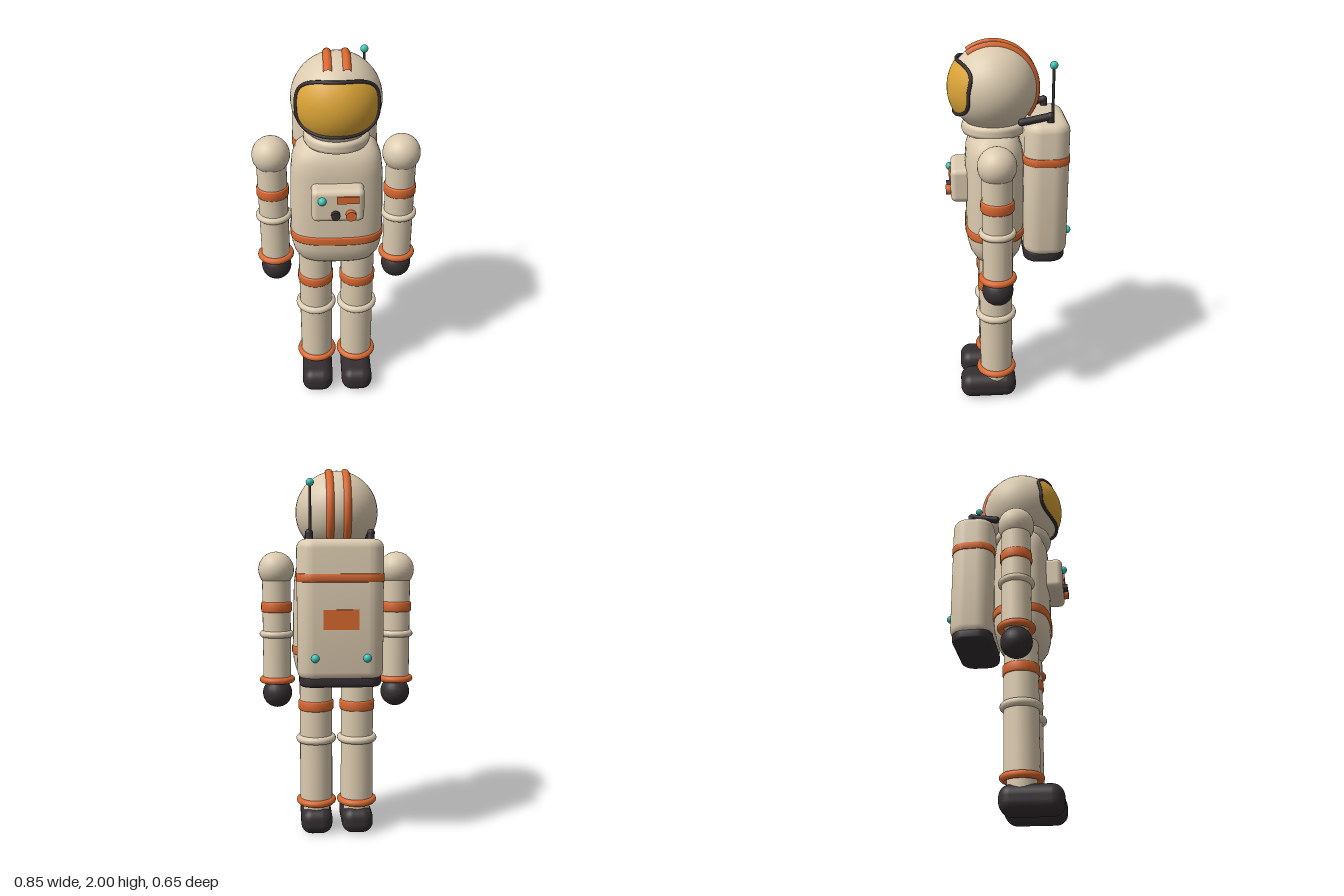
import * as THREE from 'three';
import { toCreasedNormals } from 'three/addons/utils/BufferGeometryUtils.js';
import { RoundedBoxGeometry } from 'three/addons/geometries/RoundedBoxGeometry.js';

const material = (name, color) => {
  const m = new THREE.MeshStandardMaterial({ color });
  m.name = name;
  return m;
};
const V = (x, y, z) => new THREE.Vector3(x, y, z);
const Z = 0.07; // depth of the body axis

// point on a rounded, boxy oval
function oval(angle, w, h, n = 3) {
  const p = (v) => Math.sign(v) * Math.pow(Math.abs(v), 2 / n);
  return [w * p(Math.cos(angle)), h * p(Math.sin(angle))];
}

// closed skin through boxy oval sections [y, halfWidth, halfDepth]
function loft(sections, seg = 48) {
  const pos = [], idx = [];
  sections.forEach(([y, w, d], i) => {
    for (let j = 0; j < seg; j++) {
      const [x, z] = oval((j / seg) * Math.PI * 2, w, d);
      pos.push(x, y, z);
      if (i === sections.length - 1) continue;
      const a = i * seg + j, b = i * seg + ((j + 1) % seg);
      idx.push(a, a + seg, b, b, a + seg, b + seg);
    }
  });
  const g = new THREE.BufferGeometry();
  g.setAttribute('position', new THREE.Float32BufferAttribute(pos, 3));
  g.setIndex(idx);
  g.computeVertexNormals();
  return g;
}

// upright slab with rounded plan corners and softened top and bottom edges
function slab(w, d, r, h, bevel) {
  const x = w / 2, y = d / 2, s = new THREE.Shape();
  s.moveTo(-x + r, -y);
  s.lineTo(x - r, -y); s.absarc(x - r, -y + r, r, -Math.PI / 2, 0);
  s.lineTo(x, y - r); s.absarc(x - r, y - r, r, 0, Math.PI / 2);
  s.lineTo(-x + r, y); s.absarc(-x + r, y - r, r, Math.PI / 2, Math.PI);
  s.lineTo(-x, -y + r); s.absarc(-x + r, -y + r, r, Math.PI, Math.PI * 1.5);
  const g = new THREE.ExtrudeGeometry(s, {
    depth: h - 2 * bevel, bevelSize: bevel, bevelThickness: bevel, bevelOffset: -bevel,
    bevelSegments: 4, curveSegments: 8,
  });
  g.translate(0, 0, bevel - h / 2).rotateX(-Math.PI / 2);
  return toCreasedNormals(g, 0.6);
}

// solid round band with softened edges
function band(r, h, b = 0.008) {
  const y = h / 2;
  const pts = [[0, -y], [r - b, -y], [r - b * 0.3, -y + b * 0.3], [r, -y + b],
    [r, y - b], [r - b * 0.3, y - b * 0.3], [r - b, y], [0, y]];
  return toCreasedNormals(new THREE.LatheGeometry(pts.map((p) => new THREE.Vector2(...p)), 32), 0.9);
}

const ball = (r, seg = 24) => new THREE.SphereGeometry(r, seg, Math.round(seg * 0.67));
const tube = (r, h, seg = 28) => new THREE.CylinderGeometry(r, r, h, seg);
const ring = (outer, t) => new THREE.TorusGeometry(outer - t, t, 12, 32).rotateX(Math.PI / 2);

// curved shield lying on the helmet, and its outline
const VISOR_R = 0.23, HEAD_Y = 1.77;
function visorPoint(angle, t) {
  const [x, dy] = oval(angle, 0.192 * t, 0.13 * t);
  const y = 1.785 + dy;
  return V(x, y, Z + Math.sqrt(Math.max(0, VISOR_R ** 2 - x * x - (y - HEAD_Y) ** 2)));
}
function visorShield(rings = 10, seg = 56) {
  const pos = [], idx = [];
  for (let i = 0; i <= rings; i++) {
    for (let j = 0; j < seg; j++) {
      pos.push(...visorPoint((j / seg) * Math.PI * 2, i / rings).toArray());
      if (i === rings) continue;
      const a = i * seg + j, b = i * seg + ((j + 1) % seg);
      idx.push(a, a + seg, b + seg, a, b + seg, b);
    }
  }
  const g = new THREE.BufferGeometry();
  g.setAttribute('position', new THREE.Float32BufferAttribute(pos, 3));
  g.setIndex(idx);
  g.computeVertexNormals();
  return g;
}

export function createModel() {
  const model = new THREE.Group();
  model.name = 'astronaut';
  const suit = material('suit cream', 0xdccbb0);
  const orange = material('trim orange', 0xd9682f);
  const dark = material('rubber black', 0x352e30);
  const gold = material('visor gold', 0xdba437);
  const teal = material('light teal', 0x3cc8b8);
  gold.side = THREE.DoubleSide;

  const add = (name, geo, mat, x = 0, y = 0, z = Z, parent = model) => {
    const m = new THREE.Mesh(geo, mat);
    m.name = name;
    m.position.set(x, y, z);
    parent.add(m);
    return m;
  };

  // helmet
  const helmet = new THREE.Group();
  helmet.name = 'helmet';
  model.add(helmet);
  add('helmetShell', ball(0.22, 40), suit, 0, HEAD_Y, Z, helmet);
  add('visor', visorShield(), gold, 0, 0, 0, helmet);
  const outline = Array.from({ length: 56 }, (_, j) => visorPoint((j / 56) * Math.PI * 2, 1));
  const rimPath = new THREE.CatmullRomCurve3(outline, true);
  add('visorRim', new THREE.TubeGeometry(rimPath, 112, 0.009, 8, true), dark, 0, 0, 0, helmet);
  for (const s of [-1, 1]) {
    const arc = new THREE.TorusGeometry(0.208, 0.022, 10, 48, 2.85);
    arc.rotateZ(0.95).rotateY(-Math.PI / 2);
    add('helmetStripe', arc, orange, s * 0.043, HEAD_Y, Z, helmet);
  }
  add('neckRing', band(0.163, 0.066, 0.025), suit, 0, 1.571);

  // torso and belt
  add('torso', loft([[0.86, 0, 0], [0.86, 0.13, 0.06], [0.868, 0.165, 0.085], [0.89, 0.195, 0.112],
    [0.93, 0.222, 0.135], [0.98, 0.235, 0.147], [1.05, 0.239, 0.15], [1.2, 0.237, 0.15],
    [1.4, 0.231, 0.15], [1.47, 0.222, 0.143], [1.52, 0.203, 0.125], [1.55, 0.17, 0.095],
    [1.56, 0.13, 0.07], [1.56, 0, 0]]), suit);
  add('belt', loft([[1.015, 0.225, 0.14], [1.018, 0.24, 0.154], [1.026, 0.244, 0.157],
    [1.054, 0.244, 0.157], [1.062, 0.24, 0.154], [1.065, 0.225, 0.14]]), orange);

  // chest control box
  add('chestBox', new RoundedBoxGeometry(0.26, 0.18, 0.12, 4, 0.03), suit, 0, 1.292, 0.236);
  add('chestLight', ball(0.021, 16), teal, -0.077, 1.33, 0.3);
  add('chestLabel', new THREE.BoxGeometry(0.108, 0.038, 0.009), orange, 0.048, 1.334, 0.299);
  const knob = (r, seg) => tube(r, 0.035, seg).rotateX(Math.PI / 2);
  add('darkKnob', knob(0.022, 12), dark, -0.012, 1.253, 0.302);
  add('orangeKnob', knob(0.026, 16), orange, 0.063, 1.253, 0.304);

  // arms and legs, mirrored
  for (const s of [-1, 1]) {
    const arm = new THREE.Group();
    arm.name = s > 0 ? 'leftArm' : 'rightArm';
    const leg = new THREE.Group();
    leg.name = s > 0 ? 'leftLeg' : 'rightLeg';
    model.add(arm, leg);
    const onArm = (name, geo, mat, y) => add(name, geo, mat, s * 0.326, y, Z, arm);
    const onLeg = (name, geo, mat, y, z = Z) => add(name, geo, mat, s * 0.114, y, z, leg);

    onArm('shoulder', ball(0.096), suit, 1.47);
    onArm('sleeve', tube(0.076, 0.6), suit, 1.17);
    onArm('armBand', band(0.083, 0.056), orange, 1.27);
    onArm('elbowRing', ring(0.094, 0.018), suit, 1.123);
    onArm('wristCuff', ring(0.097, 0.018), orange, 0.872);
    onArm('glove', ball(0.08), dark, 0.797);

    onLeg('trouser', tube(0.09, 0.76), suit, 0.56);
    onLeg('legBand', band(0.097, 0.056), orange, 0.728);
    onLeg('kneeRing', ring(0.111, 0.021), suit, 0.537);
    onLeg('ankleCuff', ring(0.111, 0.019), orange, 0.179);
    onLeg('ankle', tube(0.075, 0.1), suit, 0.15);
    onLeg('boot', new RoundedBoxGeometry(0.175, 0.144, 0.315, 5, 0.06), dark, 0.072, 0.117);
  }

  // life support pack
  const pack = new THREE.Group();
  pack.name = 'backpack';
  model.add(pack);
  const onPack = (name, geo, mat, x, y, z) => add(name, geo, mat, x, y, z, pack);
  onPack('packShell', slab(0.44, 0.228, 0.085, 0.71, 0.045), suit, 0, 1.275, -0.188);
  onPack('packBand', slab(0.448, 0.236, 0.087, 0.042, 0.004), orange, 0, 1.438, -0.188);
  onPack('packBase', slab(0.42, 0.214, 0.075, 0.065, 0.018), dark, 0, 0.917, -0.183);
  onPack('packLabel', new THREE.BoxGeometry(0.18, 0.1, 0.009), orange, 0, 1.232, -0.303);
  for (const s of [-1, 1]) {
    onPack('packLight', ball(0.021, 16), teal, s * 0.131, 1.038, -0.303);
    const bend = V(s * 0.156, 1.66, -0.2);
    const path = new THREE.CurvePath();
    path.add(new THREE.LineCurve3(V(s * 0.153, 1.6, -0.205), bend));
    path.add(new THREE.LineCurve3(bend, V(s * 0.158, 1.632, -0.06)));
    path.curves.forEach((c) => onPack('airHose', new THREE.TubeGeometry(c, 1, 0.019, 12), dark, 0, 0, 0));
    onPack('hoseElbow', ball(0.02, 16), dark, bend.x, bend.y, bend.z);
    onPack('hoseEnd', ball(0.019, 16), dark, s * 0.158, 1.632, -0.06);
  }
  onPack('antenna', tube(0.007, 0.25, 10), dark, 0.151, 1.775, -0.212);
  onPack('antennaTip', ball(0.02, 16), teal, 0.151, 1.906, -0.212);
  return model;
}
